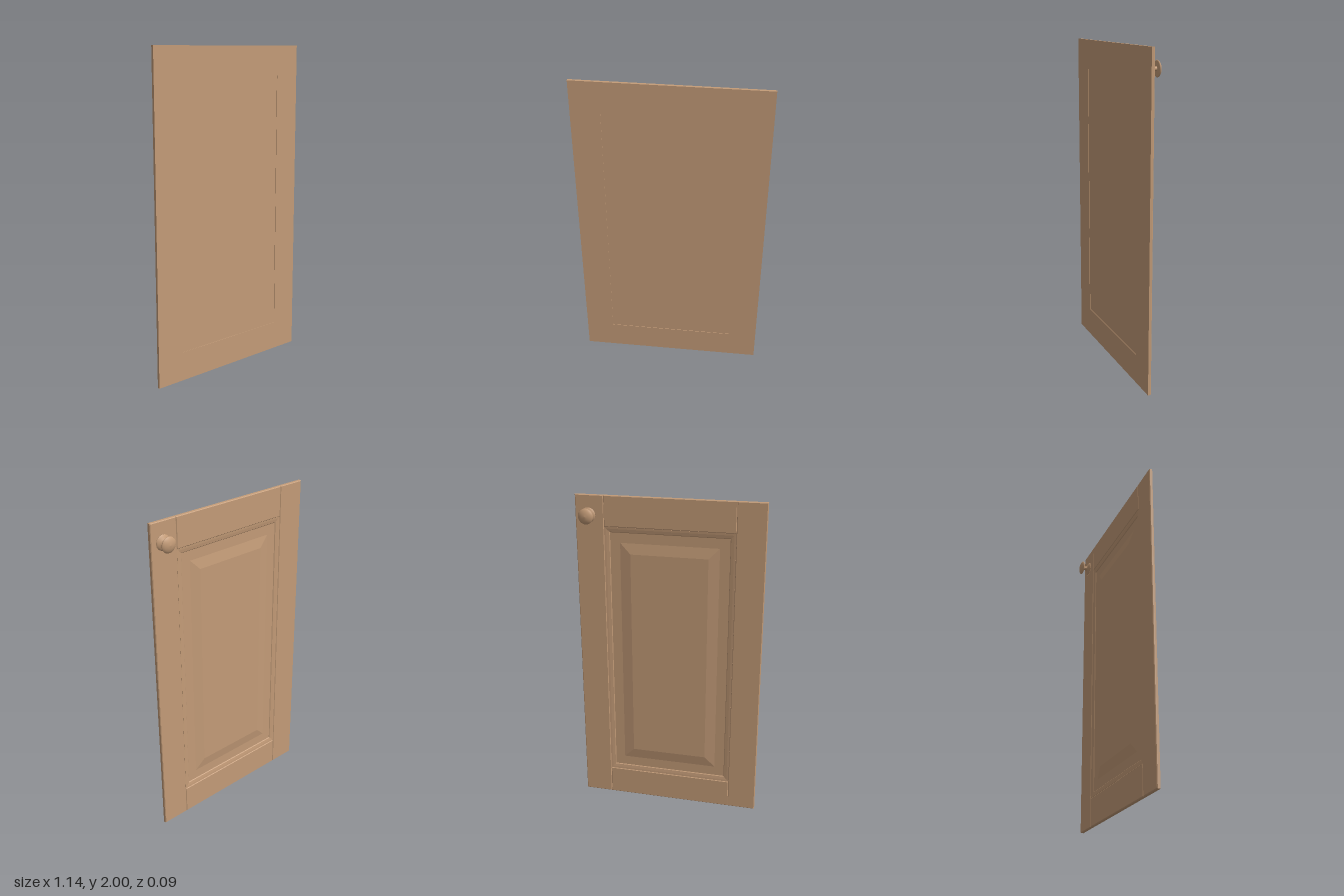
import * as THREE from 'three';

const wood = new THREE.MeshStandardMaterial({ color: 0xc49c78 });
wood.name = 'wood';

// Rectangular block lofted through rings of [inset, z], ordered front to back
function loftedBoard(name, x0, x1, y0, y1, levels) {
  const rings = levels.map(([i, z]) => [
    [x0 + i, y0 + i, z], [x1 - i, y0 + i, z], [x1 - i, y1 - i, z], [x0 + i, y1 - i, z],
  ]);
  const pos = [];
  const quad = (a, b, c, d) => pos.push(...a, ...b, ...c, ...a, ...c, ...d);
  quad(...rings[0]);
  for (let r = 0; r < rings.length - 1; r++) {
    for (let i = 0; i < 4; i++) {
      const j = (i + 1) % 4;
      quad(rings[r][i], rings[r + 1][i], rings[r + 1][j], rings[r][j]);
    }
  }
  quad(...[...rings[rings.length - 1]].reverse());
  const geo = new THREE.BufferGeometry();
  geo.setAttribute('position', new THREE.Float32BufferAttribute(pos, 3));
  geo.computeVertexNormals();
  const mesh = new THREE.Mesh(geo, wood);
  mesh.name = name;
  return mesh;
}

export function createModel() {
  const model = new THREE.Group();
  model.name = 'cabinetDoor';
  const door = new THREE.Group();
  door.name = 'door';
  door.position.z = 0.02;
  door.rotation.y = -0.0215; // door hangs slightly ajar
  model.add(door);

  // Frame: two full-height stiles and two rails, chamfered on the moulded side
  const W = 0.572, S = 0.397;
  const chamfered = [[0, 0.01], [0, -0.006], [0.004, -0.01]];
  door.add(
    loftedBoard('leftStile', S, W, 0, 2, chamfered),
    loftedBoard('rightStile', -W, -S, 0, 2, chamfered),
    loftedBoard('bottomRail', -S, S, 0, 0.18, chamfered),
    loftedBoard('topRail', -S, S, 1.815, 2, chamfered),
  );

  // Panel: sloped moulding, sunken border, then a bevelled raised field
  door.add(loftedBoard('raisedPanel', -S, S, 0.18, 1.815, [
    [0, 0.007], [0, -0.007], [0.012, -0.006], [0.03, -0.003], [0.034, 0.001],
    [0.095, 0.001], [0.16, -0.009],
  ]));

  // Knob: flared foot, slim stem and domed head
  const profile = [
    [0, 0], [0.045, 0], [0.045, 0.003], [0.036, 0.009], [0.022, 0.015], [0.013, 0.021],
    [0.012, 0.042], [0.015, 0.044], [0.042, 0.045], [0.047, 0.049], [0.045, 0.053],
    [0.034, 0.060], [0.018, 0.065], [0, 0.067],
  ].map(([r, y]) => new THREE.Vector2(r, y));
  const knob = new THREE.Mesh(new THREE.LatheGeometry(profile, 32), wood);
  knob.name = 'knob';
  knob.rotation.x = -Math.PI / 2;
  knob.position.set(0.492, 1.88, -0.01);
  door.add(knob);

  return model;
}
